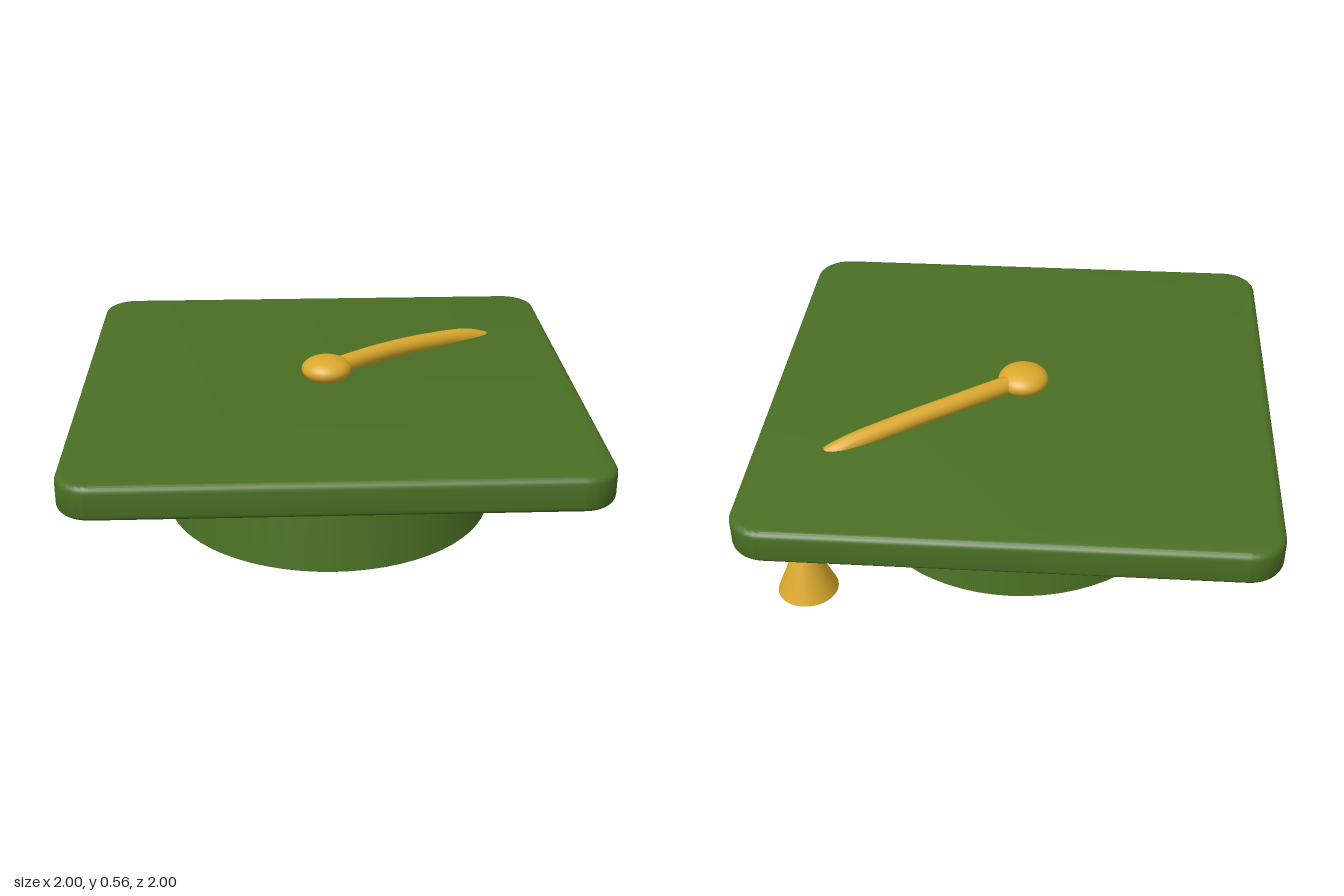
import * as THREE from 'three';
import { toCreasedNormals } from 'three/addons/utils/BufferGeometryUtils.js';

export function createModel() {
  const group = new THREE.Group();
  const green = new THREE.MeshStandardMaterial({ color: 0x4a6f24 });
  green.name = 'green cloth';
  const gold = new THREE.MeshStandardMaterial({ color: 0xdaa82c });
  gold.name = 'gold cord';

  const add = (name, geometry, material, x = 0, y = 0, z = 0) => {
    const mesh = new THREE.Mesh(geometry, material);
    mesh.name = name;
    mesh.position.set(x, y, z);
    group.add(mesh);
    return mesh;
  };

  // Board: a diamond with rounded corners and softened rims
  const bevel = 0.02, corner = 0.1 - bevel, reach = 0.9;
  const outline = new THREE.Shape();
  for (let i = 0; i < 4; i++) {
    const a = i * Math.PI / 2;
    outline.absarc(reach * Math.cos(a), reach * Math.sin(a), corner, a - Math.PI / 4, a + Math.PI / 4, false);
  }
  outline.closePath();
  const board = new THREE.ExtrudeGeometry(outline, {
    depth: 0.1 - 2 * bevel, bevelSize: bevel, bevelThickness: bevel, bevelSegments: 5, curveSegments: 12,
  });
  board.rotateX(-Math.PI / 2);
  add('board', toCreasedNormals(board, 0.6), green, 0, 0.395 + bevel, 0);

  // Skull cap: flares towards the closed bottom
  add('skullCap', new THREE.CylinderGeometry(0.455, 0.497, 0.32, 64), green, 0, 0.258, 0);

  // Button on top
  add('button', new THREE.SphereGeometry(0.075, 32, 20), gold, -0.005, 0.518, -0.002).scale.y = 0.52;

  // Cord: lies on the board, then drops past it to the tassel
  const path = new THREE.CatmullRomCurve3([
    [0, 0.516, 0], [0.2, 0.518, 0.027], [0.4, 0.51, 0.065], [0.58, 0.487, 0.107],
    [0.65, 0.45, 0.133], [0.686, 0.38, 0.15], [0.712, 0.22, 0.16],
  ].map((p) => new THREE.Vector3(...p)));
  add('cord', new THREE.TubeGeometry(path, 64, 0.027, 16), gold);

  // Tassel: knot and flared skirt
  add('tasselKnot', new THREE.SphereGeometry(0.054, 32, 20), gold, 0.712, 0.217, 0.16);
  add('tasselSkirt', new THREE.CylinderGeometry(0.005, 0.09, 0.21, 40), gold, 0.712, 0.105, 0.16);

  return group;
}
